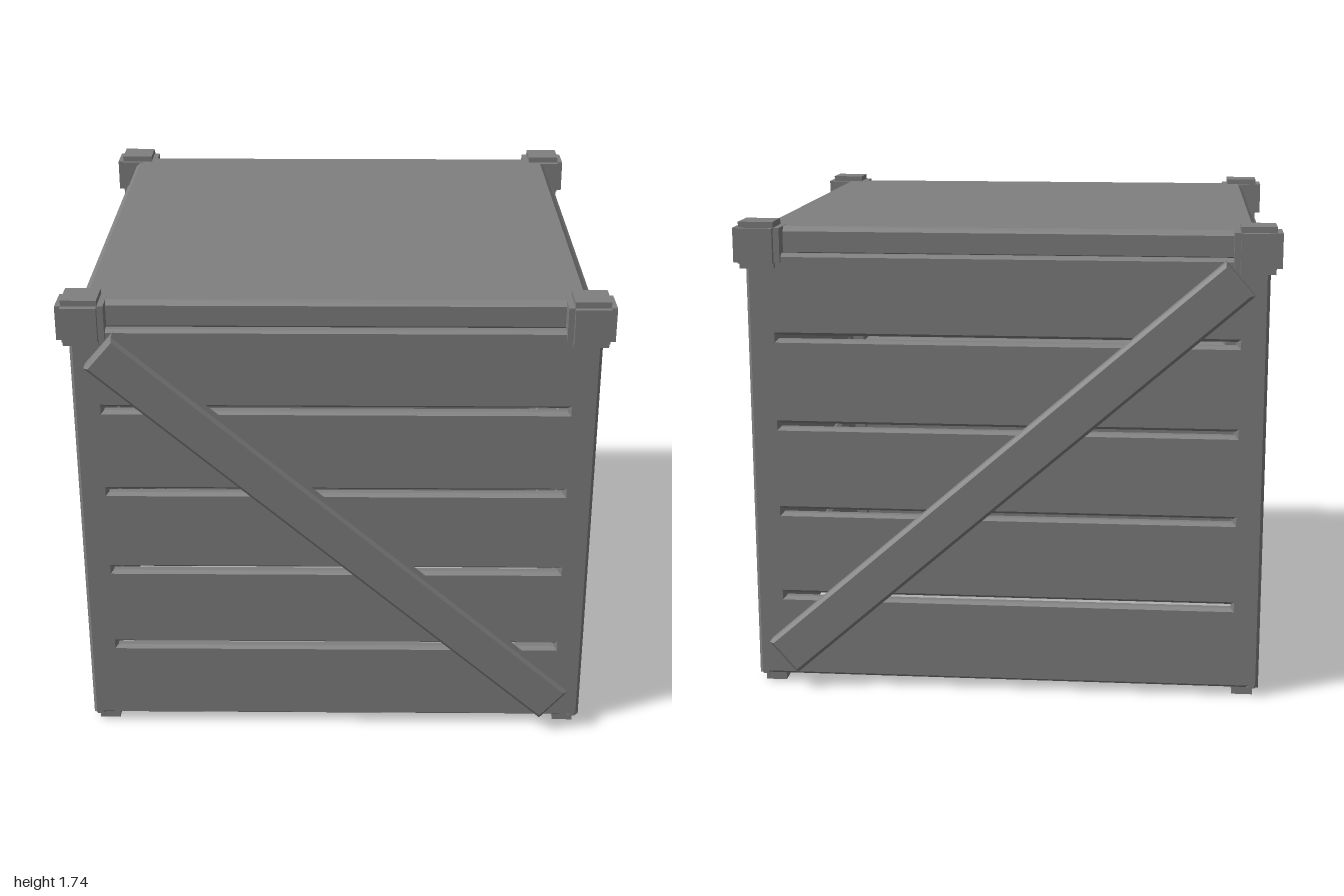
import * as THREE from 'three';

const grey = new THREE.MeshStandardMaterial({ color: 0x808080 });
grey.name = 'crateGrey';

function add(parent, name, geometry, x = 0, y = 0, z = 0) {
  const mesh = new THREE.Mesh(geometry, grey);
  mesh.name = name;
  mesh.position.set(x, y, z);
  parent.add(mesh);
  return mesh;
}

// Axis-aligned rectangle as a closed outline
function rectangle(Type, x0, y0, x1, y1) {
  const r = new Type();
  r.moveTo(x0, y0).lineTo(x1, y0).lineTo(x1, y1).lineTo(x0, y1).closePath();
  return r;
}

// Plate with bevelled edges, starting at z = 0
function bevelledPlate(shape, thickness, bevel, chamfer = bevel) {
  const geometry = new THREE.ExtrudeGeometry(shape, {
    depth: thickness - 2 * chamfer, bevelEnabled: true,
    bevelSize: bevel, bevelThickness: chamfer, bevelSegments: 1,
  });
  geometry.translate(0, 0, chamfer);
  return geometry;
}

export function createModel() {
  const crate = new THREE.Group();
  crate.name = 'crate';

  // Slatted walls with four bevelled gaps
  const wallShape = rectangle(THREE.Shape, -0.924, 0.042, 0.924, 1.615);
  for (const y of [0.345, 0.67, 0.995, 1.322]) {
    wallShape.holes.push(rectangle(THREE.Path, -0.838, y - 0.019, 0.838, y + 0.019));
  }
  const wallGeometry = bevelledPlate(wallShape, 0.05, 0.011, 0.014);
  wallGeometry.translate(0, 0, 0.885);
  ['frontWall', 'leftWall', 'backWall', 'rightWall'].forEach((name, i) => {
    add(crate, name, wallGeometry).rotation.y = i * Math.PI / 2;
  });

  // Diagonal braces on the front and back, both falling towards +x
  const braceShape = rectangle(THREE.Shape, -1.088, -0.066, 1.088, 0.066);
  const braceGeometry = bevelledPlate(braceShape, 0.07, 0.012);
  const slope = Math.atan2(1.445, 1.66);
  add(crate, 'frontBrace', braceGeometry, 0, 0.84, 0.93).rotation.z = -slope;
  add(crate, 'backBrace', braceGeometry, 0, 0.84, -1).rotation.z = -slope;

  // Lid with a bevelled rim
  const lidShape = rectangle(THREE.Shape, -0.875, -0.875, 0.875, 0.875);
  add(crate, 'lid', bevelledPlate(lidShape, 0.11, 0.018), 0, 1.61).rotation.x = -Math.PI / 2;

  // Corner posts, which also form the feet, and notched corner caps
  for (const x of [-1, 1]) {
    for (const z of [-1, 1]) {
      const corner = new THREE.Group();
      corner.name = (z > 0 ? 'front' : 'back') + (x > 0 ? 'Left' : 'Right') + 'Corner';
      corner.position.set(x * 0.89, 0, z * 0.89);
      crate.add(corner);
      add(corner, 'post', new THREE.BoxGeometry(0.076, 1.62, 0.076), -x * 0.014, 0.81, -z * 0.014);
      for (const axis of [0, 1, 2]) {
        const size = [0.125, 0.125, 0.125];
        size[axis] = 0.168;
        add(corner, 'cap', new THREE.BoxGeometry(...size), 0, 1.658, 0);
      }
    }
  }
  return crate;
}
